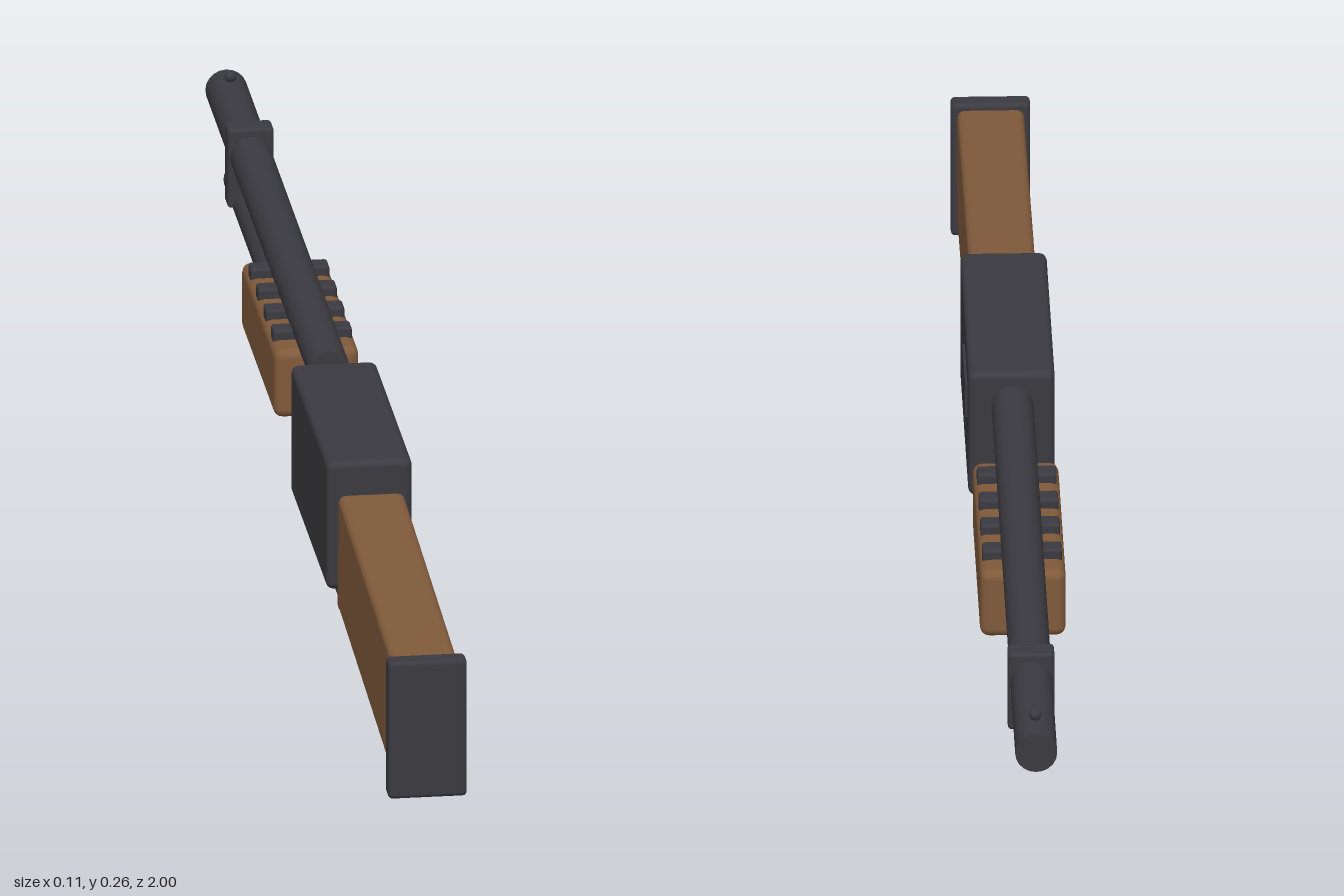
import * as THREE from 'three';
import { RoundedBoxGeometry } from 'three/addons/geometries/RoundedBoxGeometry.js';

const CX = -0.0015; // centre line of the body; the port on +x balances the width

export function createModel() {
  const model = new THREE.Group();
  const metal = new THREE.MeshStandardMaterial({ color: 0x3a3a40 });
  metal.name = 'dark metal';
  const wood = new THREE.MeshStandardMaterial({ color: 0x805a3b });
  wood.name = 'brown wood';

  const add = (name, geometry, material, x, y, z) => {
    const mesh = new THREE.Mesh(geometry, material);
    mesh.name = name;
    mesh.position.set(x, y, z);
    model.add(mesh);
    return mesh;
  };
  // Box with softened edges, given by its extents in y and z
  const block = (name, material, width, y0, y1, z0, z1, bevel) =>
    add(name, new RoundedBoxGeometry(width, y1 - y0, z1 - z0, 2, bevel), material,
      CX, (y0 + y1) / 2, (z0 + z1) / 2);
  // Round bar lying along z
  const bar = (name, radius, y, z0, z1) =>
    add(name, new THREE.CylinderGeometry(radius, radius, z1 - z0, 20).rotateX(Math.PI / 2),
      metal, CX, y, (z0 + z1) / 2);

  // Receiver with the port plate on its left side
  block('receiver', metal, 0.111, 0.069, 0.245, 0.062, 0.423, 0.01);
  add('ejectionPort', new THREE.BoxGeometry(0.008, 0.05, 0.112), metal, 0.053, 0.186, 0.165);

  // Barrel, magazine tube, clamp and bead
  bar('barrel', 0.027, 0.218, -1, 0.025);
  bar('magazineTube', 0.0225, 0.15, -0.855, 0.04);
  block('barrelClamp', metal, 0.06, 0.148, 0.256, -0.788, -0.754, 0.005);
  add('frontSight', new THREE.SphereGeometry(0.008, 12, 8), metal, CX, 0.252, -0.957);

  // Sliding forend with cross ribs
  block('forend', wood, 0.11, 0.107, 0.2, -0.432, -0.1, 0.012);
  for (let i = 0; i < 4; i++) {
    const z = -0.155 - i * 0.0745;
    block('forendRib', metal, 0.102, 0.185, 0.213, z - 0.014, z + 0.014, 0.004);
  }

  // Stock drops towards the butt; the grip tilts the other way
  block('stock', wood, 0.086, 0.034, 0.193, 0.43, 0.977, 0.01).rotation.x = 0.05;
  block('grip', wood, 0.075, 0.037, 0.147, 0.375, 0.505, 0.01).rotation.x = -0.17;
  block('buttPad', metal, 0.102, 0, 0.188, 0.972, 1, 0.006);

  // Trigger and flat guard plate
  block('trigger', metal, 0.02, 0.03, 0.08, 0.319, 0.338, 0.003);
  block('triggerGuard', metal, 0.05, 0.012, 0.021, 0.273, 0.433, 0.003);

  return model;
}
